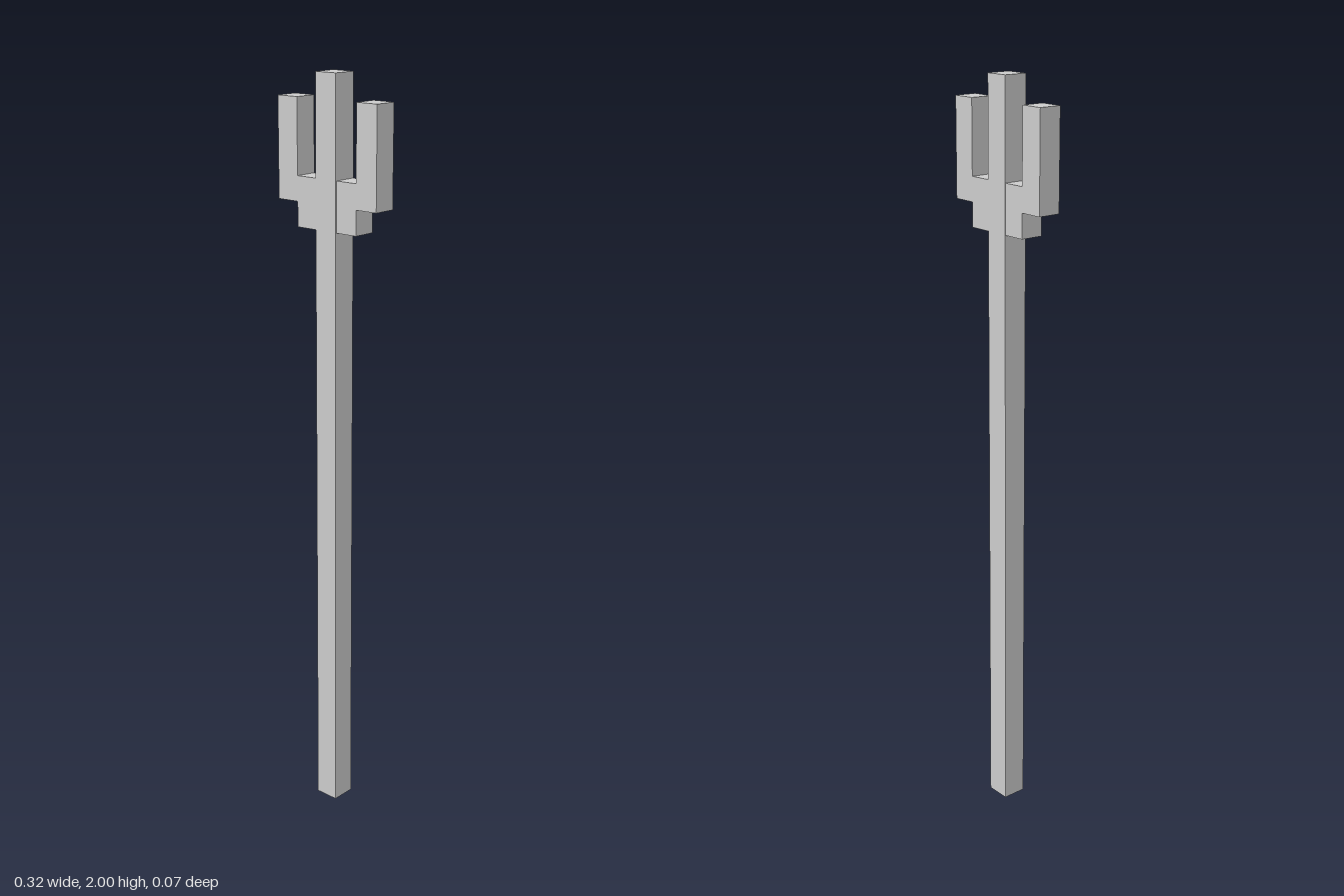
import * as THREE from 'three';

const U = 2 / 31; // one block: the whole trident is 31 blocks tall

export function createModel() {
  const group = new THREE.Group();
  const material = new THREE.MeshStandardMaterial({ color: 0xcccccc, flatShading: true });

  // Square bar centred at x, running from block y0 to block y1
  function bar(name, x, y0, y1, width, depth, z = 0) {
    const mesh = new THREE.Mesh(new THREE.BoxGeometry(width, (y1 - y0) * U, depth), material);
    mesh.name = name;
    mesh.position.set(x, ((y0 + y1) / 2) * U, z);
    group.add(mesh);
  }

  // Shaft and middle tine are one bar, a hair thicker than the head
  bar('shaft', 0, 0, 31, 0.066, 0.066);

  // Shoulder and outer tine on each side
  for (const [side, s] of [['left', 1], ['right', -1]]) {
    bar(side + 'Shoulder', s * U, 25, 27, U, 0.063, -0.001);
    bar(side + 'Tine', s * 2 * U, 26, 30, U, 0.063, -0.001);
  }

  return group;
}
